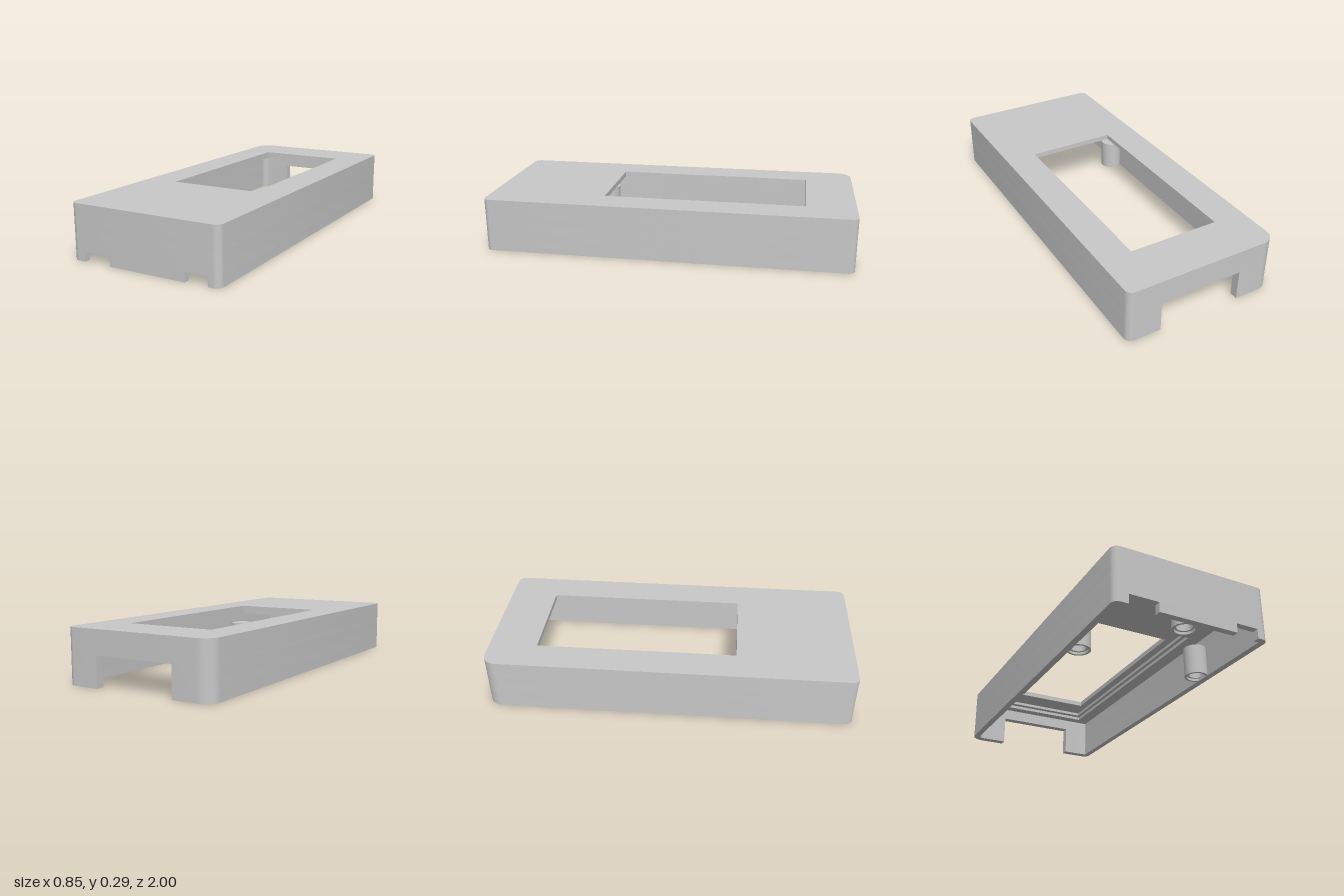
import * as THREE from 'three';
import { toCreasedNormals } from 'three/addons/utils/BufferGeometryUtils.js';

const W = 0.427, L = 1;                   // half width, half length
const SIDE = 0.035, BACK = 0.045;         // wall thicknesses
const H = 0.293, CEILING = 0.23;
const FRONT_R = 0.037;                    // front corner radius
const BACK_R = { 1: 0.037, '-1': 0.075 }; // the right back corner is rounder

const plastic = new THREE.MeshStandardMaterial({ color: 0xc8c8c8 });
plastic.name = 'grey plastic';

const v = (x, y) => new THREE.Vector2(x, y);

function arc(cx, cy, r, from, to, n = 10) {
  const pts = [];
  for (let i = 0; i <= n; i++) {
    const a = THREE.MathUtils.degToRad(from + (to - from) * i / n);
    pts.push(v(cx + r * Math.cos(a), cy + r * Math.sin(a)));
  }
  return pts;
}

// Outer edge of one half, from the back to the front (plan drawn with back up)
const outerEdge = (rb) => [
  ...arc(W - rb, L - rb, rb, 90, 0),
  ...arc(W - FRONT_R, -L + FRONT_R, FRONT_R, 0, -90),
];

// Half wall: starts at xBack on the back wall and ends at xFront on the front wall
function halfWall(s, xBack, xFront) {
  const rb = BACK_R[s], ri = Math.max(rb - SIDE, 0.005);
  const pts = [
    v(xBack, L), ...outerEdge(rb),
    v(xFront, -L), v(xFront, -L + SIDE),
    v(W - SIDE, -L + SIDE),
    ...arc(W - SIDE - ri, L - BACK - ri, ri, 0, 90),
    v(xBack, L - BACK),
  ];
  return new THREE.Shape(pts.map((p) => v(p.x * s, p.y)));
}

// Top plate layer with a rectangular hole (z measured towards the front)
function lid(x, zBack, zFront) {
  const right = outerEdge(BACK_R[1]);
  const left = outerEdge(BACK_R[-1]).map((p) => v(-p.x, p.y)).reverse();
  const shape = new THREE.Shape([...right, ...left]);
  shape.holes.push(new THREE.Path([v(-x, -zBack), v(-x, -zFront), v(x, -zFront), v(x, -zBack)]));
  return shape;
}

export function createModel() {
  const model = new THREE.Group();
  model.name = 'enclosureCover';

  const add = (name, geometry) => {
    const mesh = new THREE.Mesh(toCreasedNormals(geometry, 0.5), plastic);
    mesh.name = name;
    model.add(mesh);
    return mesh;
  };
  const layer = (name, shape, y0, y1) => {
    const g = new THREE.ExtrudeGeometry(shape, { depth: y1 - y0, bevelEnabled: false });
    g.rotateX(-Math.PI / 2).translate(0, y0, 0);
    return add(name, g);
  };

  // Side walls: notched foot, band beside the back opening, closed band
  for (const [s, side, gap, notch] of [[1, 'left', 0.242, 0.364], [-1, 'right', 0.213, 0.351]]) {
    layer(side + 'WallFoot', halfWall(s, gap, notch), 0, 0.051);
    layer(side + 'WallMiddle', halfWall(s, gap, 0), 0.051, 0.165);
    layer(side + 'WallTop', halfWall(s, 0, 0), 0.165, CEILING);
  }

  // Front wall between the two notches
  const tab = new THREE.BoxGeometry(0.434, 0.051, SIDE);
  tab.translate(0.024, 0.0255, L - SIDE / 2);
  add('frontWallTab', tab);

  // Top plate with a stepped recess under the window
  layer('recessOuterStep', lid(0.315, -0.9, 0.49), CEILING, 0.248);
  layer('recessInnerStep', lid(0.295, -0.87, 0.46), 0.248, 0.265);
  layer('windowPlate', lid(0.25, -0.735, 0.36), 0.265, H);

  // Short hollow posts joined to the walls, with a countersunk rim
  const profile = [
    [0, 0.12], [0.04, 0.12], [0.04, 0.015], [0.051, 0.015],
    [0.051, 0.002], [0.063, 0.002], [0.063, 0.168], [0, 0.168],
  ].map(([r, y]) => v(r, y));
  [[0.353, 0.49], [-0.353, 0.49], [0, 0.91]].forEach(([x, z], i) => {
    add('screwPost' + (i + 1), new THREE.LatheGeometry(profile, 32)).position.set(x, 0, z);
  });

  return model;
}
